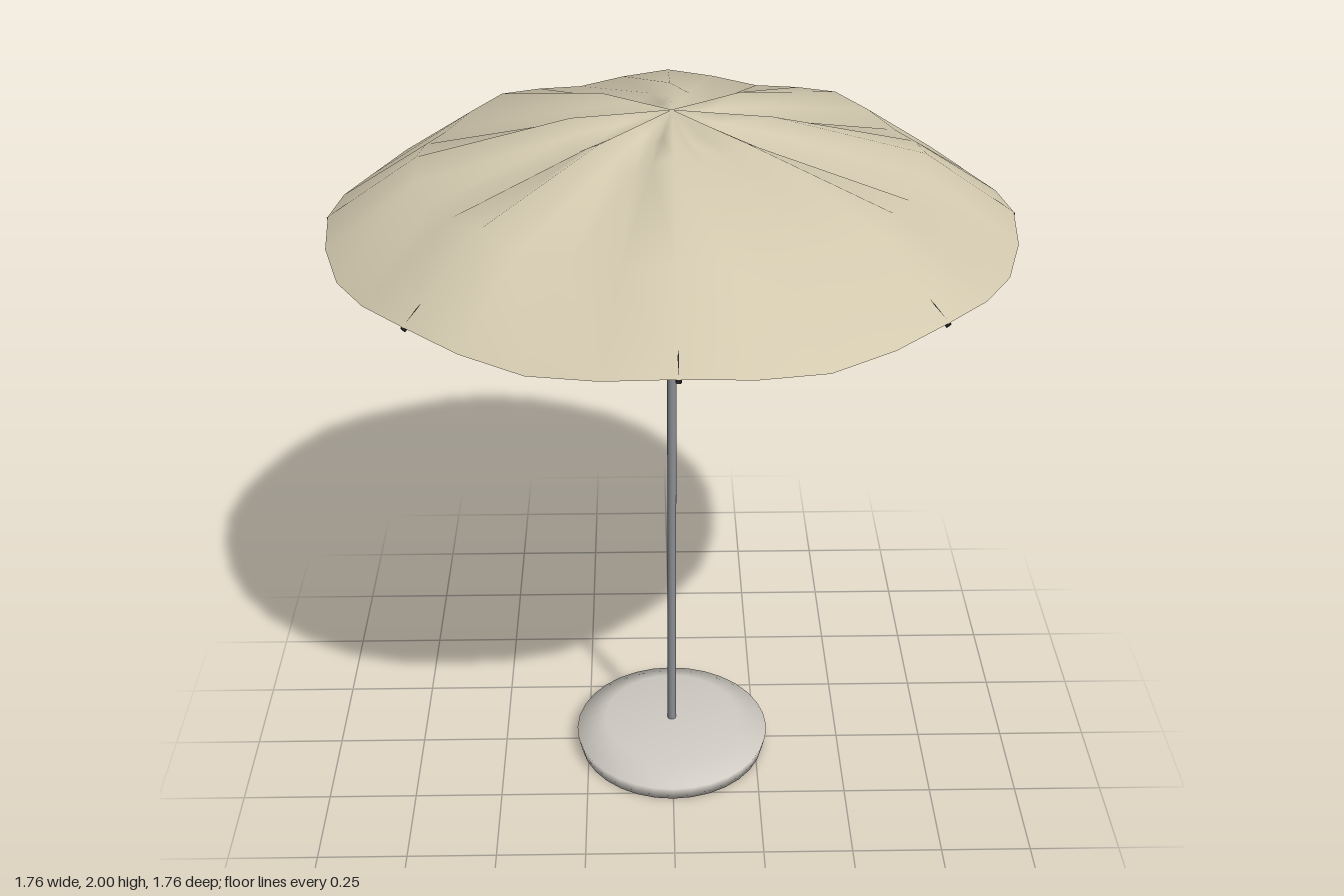
import * as THREE from 'three';
import { mergeVertices } from 'three/addons/utils/BufferGeometryUtils.js';

const RIBS = 8;

function material(color, side = THREE.FrontSide) {
  return new THREE.MeshStandardMaterial({ color, side });
}

function lathe(profile, segments) {
  return new THREE.LatheGeometry(profile.map(([r, y]) => new THREE.Vector2(r, y)), segments);
}

// Eight fabric panels that are high along the ribs and sag between them
function canopyGeometry() {
  // radius, height at a rib, sag at the middle of a panel (rim to apex)
  const rings = [
    [0.875, 1.72, 0.025],
    [0.64, 1.88, 0.03],
    [0.25, 1.98, 0.052],
    [0.12, 1.99, 0.035],
    [0, 2, 0],
  ];
  let geometry = lathe(rings, RIBS * 4);
  const pos = geometry.attributes.position;
  for (let i = 0; i < pos.count; i++) {
    const sag = rings[i % rings.length][2];
    const angle = Math.atan2(pos.getX(i), pos.getZ(i));
    pos.setY(i, pos.getY(i) - sag * (1 - Math.cos(RIBS * angle)) / 2);
  }
  geometry.deleteAttribute('normal');
  geometry.deleteAttribute('uv');
  geometry = mergeVertices(geometry, 1e-5);
  geometry.computeVertexNormals();
  return geometry;
}

export function createModel() {
  const model = new THREE.Group();
  model.name = 'parasol';

  function add(name, geometry, mat, parent = model) {
    const mesh = new THREE.Mesh(geometry, mat);
    mesh.name = name;
    parent.add(mesh);
    return mesh;
  }

  // Rounded weight on the ground
  const baseProfile = [[0, 0], [0.275, 0], [0.285, 0.045], [0.2, 0.08], [0, 0.08]];
  add('base', lathe(baseProfile, 32), material(0xd0ccc4));

  // Pole from the base to just under the apex
  const pole = add('pole', new THREE.CylinderGeometry(0.0125, 0.0125, 1.91, 16), material(0x8a8f94));
  pole.position.y = 0.07 + 1.91 / 2;

  add('canopy', canopyGeometry(), material(0xd2c8ae, THREE.DoubleSide));

  // Curved ribs under the fabric
  const ribs = new THREE.Group();
  ribs.name = 'ribs';
  model.add(ribs);
  const ribCurve = new THREE.QuadraticBezierCurve3(
    new THREE.Vector3(0.005, 1.97, 0),
    new THREE.Vector3(0.5, 1.985, 0),
    new THREE.Vector3(0.874, 1.712, 0)
  );
  const ribGeometry = new THREE.TubeGeometry(ribCurve, 16, 0.007, 8);
  const ribMaterial = material(0x222222, THREE.DoubleSide);
  for (let i = 0; i < RIBS; i++) {
    add('rib', ribGeometry, ribMaterial, ribs).rotation.y = (i / RIBS) * Math.PI * 2;
  }

  return model;
}
